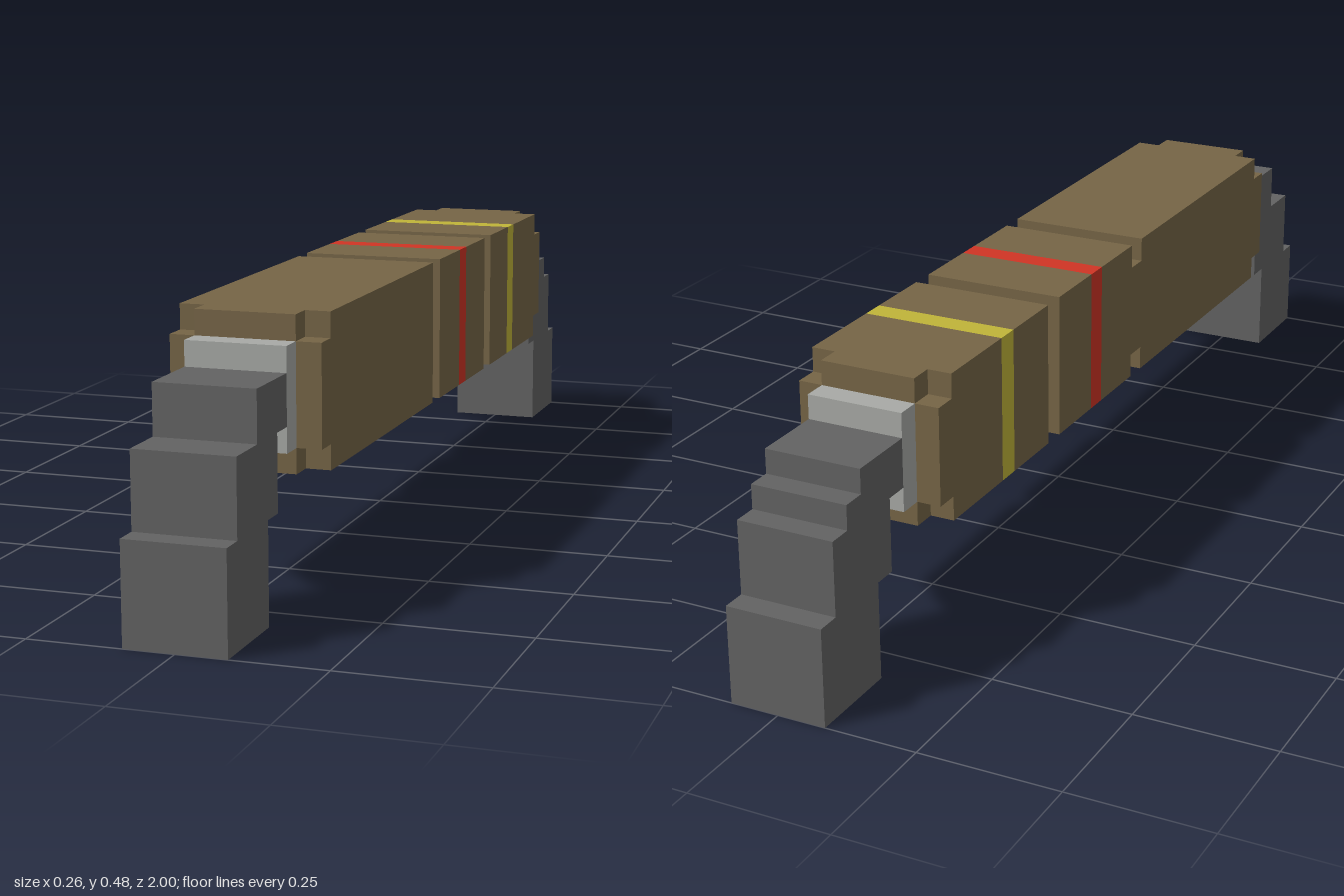
import * as THREE from 'three';

const U = 1 / 23; // one block; the model is 46 blocks long

function material(name, color) {
  const m = new THREE.MeshStandardMaterial({ color });
  m.name = name;
  return m;
}

export function createModel() {
  const brown = material('brown', 0x766546);
  const darkGrey = material('dark grey', 0x636363);
  const lightGrey = material('light grey', 0xa8aaa6);
  const red = material('red', 0xd03424);
  const yellow = material('yellow', 0xc0b439);
  const model = new THREE.Group();
  model.name = 'blockHandle';

  // Box spanning two corners, given in blocks
  function block(name, mat, [x0, x1], [y0, y1], [z0, z1], parent = model) {
    const mesh = new THREE.Mesh(
      new THREE.BoxGeometry((x1 - x0) * U, (y1 - y0) * U, (z1 - z0) * U), mat);
    mesh.position.set((x0 + x1) / 2 * U, (y0 + y1) / 2 * U, (z0 + z1) / 2 * U);
    mesh.name = name;
    parent.add(mesh);
  }

  // Shaft segments, with the stripes as full bands between them
  const shaft = [
    ['longSegment', brown, 2, 15],
    ['middleSegmentFront', brown, -2, 1],
    ['redBand', red, -3, -2],
    ['middleSegmentBack', brown, -6, -3],
    ['rearSegmentFront', brown, -10, -7],
    ['yellowBand', yellow, -11, -10],
    ['rearSegmentBack', brown, -15, -11],
  ];
  for (const [name, mat, z0, z1] of shaft) block(name, mat, [-3, 3], [5, 11], [z0, z1]);

  // Recessed necks between segments; the front one is flush on the right
  block('frontNeck', brown, [-3, 2], [6, 10], [1, 2]);
  block('rearNeck', brown, [-2, 2], [6, 10], [-7, -6]);

  // Shaft ends with a cube cut out of each corner
  const cross = new THREE.Shape([
    [-2, -3], [2, -3], [2, -2], [3, -2], [3, 2], [2, 2],
    [2, 3], [-2, 3], [-2, 2], [-3, 2], [-3, -2], [-2, -2],
  ].map(([x, y]) => new THREE.Vector2(x * U, y * U)));
  const crossGeometry = new THREE.ExtrudeGeometry(cross, { depth: U, bevelEnabled: false });
  for (const [name, z] of [['frontEnd', 15], ['rearEnd', -16]]) {
    const end = new THREE.Mesh(crossGeometry, brown);
    end.position.set(0, 8 * U, z * U);
    end.name = name;
    model.add(end);
  }

  // Light collar and stepped, downturned arm at each end
  for (const [name, side] of [['front', 1], ['rear', -1]]) {
    const arm = new THREE.Group();
    arm.name = name + 'Arm';
    model.add(arm);
    const part = (label, mat, ys, a, b) => block(label, mat, [-2, 2], ys,
      side > 0 ? [a, b] : [-b, -a], arm);
    part('collar', lightGrey, [6, 10], 16, 17);
    part('armTop', darkGrey, [7, 9], 17, 20);
    part('armMiddle', darkGrey, [4, 7], 18, 22);
    part('armFoot', darkGrey, [0, 4], 19, 23);
    if (side < 0) part('armStep', darkGrey, [7, 8], 20, 21);
  }
  return model;
}
